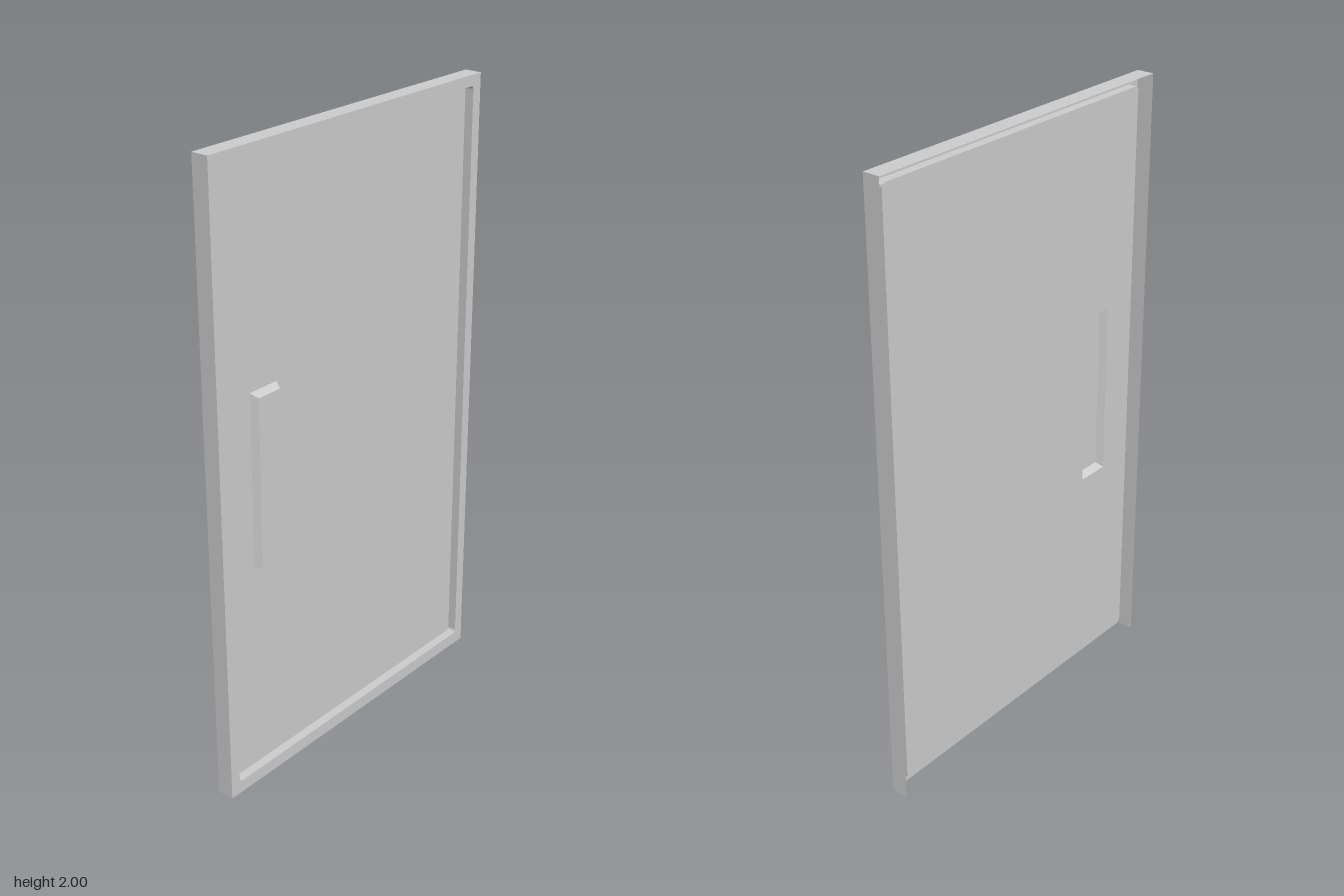
import * as THREE from 'three';

const material = new THREE.MeshStandardMaterial({ color: 0xcccccc, side: THREE.DoubleSide });

// Depth levels of the pressed sheet: rear edge, sunken panel, grip face, front rim
const REAR = -0.028, PANEL = -0.001, GRIP = 0.022, FRONT = 0.028;

// Counter-clockwise rectangle outline, with optional rounded corners
function rectangle(x0, x1, y0, y1, r = 0) {
  const v = (x, y) => new THREE.Vector2(x, y);
  if (!r) return [v(x0, y0), v(x1, y0), v(x1, y1), v(x0, y1)];
  const centres = [[x1 - r, y1 - r], [x0 + r, y1 - r], [x0 + r, y0 + r], [x1 - r, y0 + r]];
  const points = [];
  centres.forEach(([cx, cy], quarter) => {
    for (let i = 0; i <= 4; i++) {
      const a = (quarter + i / 4) * Math.PI / 2;
      points.push(v(cx + r * Math.cos(a), cy + r * Math.sin(a)));
    }
  });
  return points;
}

// Flat sheet at depth z, with an optional opening
function sheet(name, outline, z, hole) {
  const shape = new THREE.Shape(outline);
  if (hole) shape.holes.push(new THREE.Path(hole));
  const mesh = new THREE.Mesh(new THREE.ShapeGeometry(shape), material);
  mesh.position.z = z;
  mesh.name = name;
  return mesh;
}

// Wall joining a rear outline to a front outline, facing outward
function wall(name, rear, zRear, front, zFront, closed = true) {
  const positions = [];
  const n = rear.length;
  for (let i = 0; i < (closed ? n : n - 1); i++) {
    const j = (i + 1) % n;
    const a = [rear[i].x, rear[i].y, zRear], b = [rear[j].x, rear[j].y, zRear];
    const c = [front[j].x, front[j].y, zFront], d = [front[i].x, front[i].y, zFront];
    positions.push(...a, ...b, ...c, ...a, ...c, ...d);
  }
  const geometry = new THREE.BufferGeometry();
  geometry.setAttribute('position', new THREE.Float32BufferAttribute(positions, 3));
  geometry.computeVertexNormals();
  const mesh = new THREE.Mesh(geometry, material);
  mesh.name = name;
  return mesh;
}

export function createModel() {
  const outer = rectangle(-0.58, 0.58, 0, 2);
  const inner = rectangle(-0.545, 0.545, 0.041, 1.966, 0.012);
  const gripBase = rectangle(-0.423, -0.313, 0.72, 1.287);
  const gripFace = rectangle(-0.411, -0.324, 0.734, 1.274);

  // The door is drawn facing +z, then turned to face +x
  const door = new THREE.Group();
  door.name = 'door';
  door.rotation.y = Math.PI / 2;

  // Outer edges: two sides and the top, open at the bottom and behind
  const edge = [outer[1], outer[2], outer[3], outer[0]];
  door.add(wall('outerEdge', edge, REAR, edge, FRONT, false));

  // Front rim, the step down from it, and the sunken panel
  const inward = [...inner].reverse();
  door.add(
    sheet('frontRim', outer, FRONT, inner),
    wall('rimStep', inward, PANEL, inward, FRONT),
    sheet('doorPanel', inner, PANEL, gripBase)
  );

  // Raised tapered grip, hollow from behind
  const grip = new THREE.Group();
  grip.name = 'grip';
  grip.add(
    wall('gripSides', gripBase, PANEL, gripFace, GRIP),
    sheet('gripFace', gripFace, GRIP)
  );
  door.add(grip);

  const model = new THREE.Group();
  model.name = 'slidingDoor';
  model.add(door);
  return model;
}
